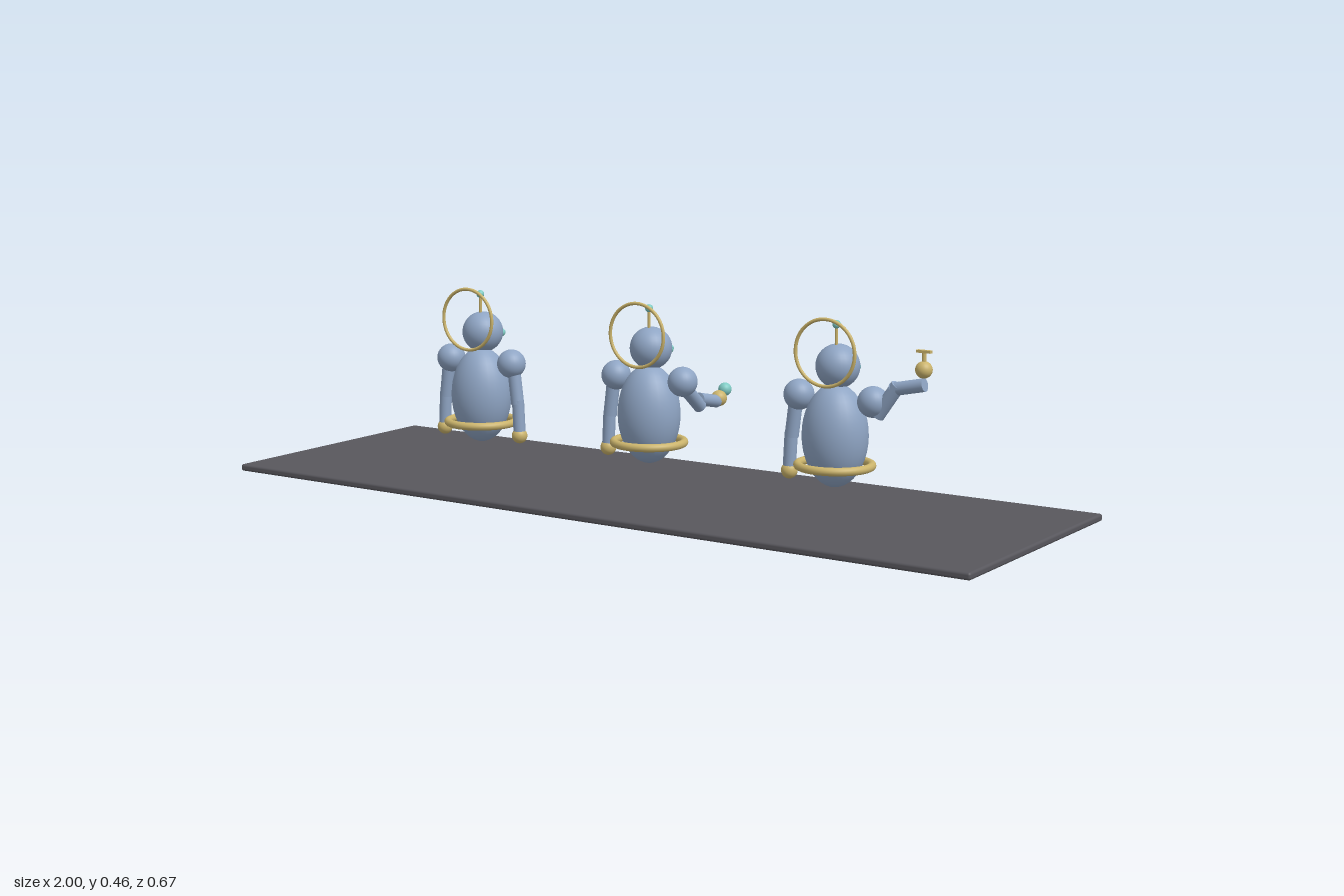
import * as THREE from 'three';
import { RoundedBoxGeometry } from 'three/addons/geometries/RoundedBoxGeometry.js';

const paint = (name, color) => {
  const m = new THREE.MeshStandardMaterial({ color });
  m.name = name;
  return m;
};

export function createModel() {
  const blue = paint('steel blue', 0x8fa5c4);
  const gold = paint('pale gold', 0xcbb46c);
  const teal = paint('teal', 0x80cbc4);
  const grey = paint('dark grey', 0x58575d);

  const add = (parent, name, geometry, material, x = 0, y = 0, z = 0) => {
    const mesh = new THREE.Mesh(geometry, material);
    mesh.name = name;
    mesh.position.set(x, y, z);
    parent.add(mesh);
    return mesh;
  };
  const ball = (parent, name, r, material, [x, y, z]) =>
    add(parent, name, new THREE.SphereGeometry(r, 28, 20), material, x, y, z);

  // Cylinder running between two points
  const rod = (parent, name, r, material, from, to) => {
    const a = new THREE.Vector3(...from), b = new THREE.Vector3(...to);
    const dir = b.clone().sub(a);
    const mesh = add(parent, name, new THREE.CylinderGeometry(r, r, dir.length(), 24), material);
    mesh.position.copy(a).add(b).multiplyScalar(0.5);
    mesh.quaternion.setFromUnitVectors(new THREE.Vector3(0, 1, 0), dir.normalize());
  };

  // Shoulder, upper arm, forearm and hand
  const arm = (parent, name, side, pose) => {
    const g = new THREE.Group();
    g.name = name;
    g.scale.x = 1;
    const at = ([x, y, z]) => [side * x, y, z];
    ball(g, 'shoulder', 0.035, blue, at([0.094, 0.278, 0]));
    rod(g, 'upperArm', 0.016, blue, at(pose.upper[0]), at(pose.upper[1]));
    rod(g, 'forearm', 0.015, blue, at(pose.fore[0]), at(pose.fore[1]));
    ball(g, 'hand', 0.019, gold, at(pose.hand));
    parent.add(g);
    return g;
  };

  const resting = {
    upper: [[0.1, 0.275, 0], [0.112, 0.18, 0]],
    fore: [[0.113, 0.19, 0], [0.117, 0.11, 0]],
    hand: [0.117, 0.102, 0],
  };
  const reaching = {
    upper: [[0.094, 0.27, 0], [0.094, 0.21, -0.075]],
    fore: [[0.094, 0.228, -0.07], [0.094, 0.212, -0.147]],
    hand: [0.094, 0.218, -0.158],
  };
  const raised = {
    upper: [[0.105, 0.248, 0], [0.155, 0.32, 0]],
    fore: [[0.14, 0.31, 0], [0.22, 0.327, 0]],
    hand: [0.217, 0.36, 0],
  };

  const robot = (name, x, leftPose) => {
    const g = new THREE.Group();
    g.name = name;
    g.position.x = x;

    // Egg-shaped body with belt ring and front knob
    const body = ball(g, 'body', 1, blue, [0, 0.194, 0]);
    body.scale.set(0.076, 0.117, 0.0705);
    const belt = add(g, 'belt', new THREE.TorusGeometry(0.083, 0.0095, 14, 56), gold, 0, 0.127, 0);
    belt.rotation.x = Math.PI / 2;
    ball(g, 'bellyKnob', 0.019, gold, [0, 0.202, -0.076]);

    // Head, eyes, antenna and the ring behind
    ball(g, 'head', 0.05, blue, [0, 0.349, -0.008]);
    for (const s of [-1, 1]) {
      rod(g, 'eyeSocket', 0.0105, teal, [s * 0.021, 0.344, -0.045], [s * 0.021, 0.344, -0.057]);
      ball(g, 'eye', 0.008, teal, [s * 0.021, 0.344, -0.059]);
    }
    rod(g, 'antenna', 0.0035, gold, [0, 0.385, 0], [0, 0.44, 0]);
    ball(g, 'antennaTip', 0.0095, teal, [0, 0.443, 0]);
    add(g, 'halo', new THREE.TorusGeometry(0.0745, 0.004, 12, 64), gold, 0, 0.385, 0.051);

    arm(g, 'rightArm', -1, resting);
    return { group: g, leftArm: arm(g, 'leftArm', 1, leftPose) };
  };

  const model = new THREE.Group();
  model.name = 'threeRobots';
  add(model, 'base', new RoundedBoxGeometry(2, 0.017, 0.667, 2, 0.006), grey, 0, 0.0085, 0);

  const first = robot('restingRobot', -0.5, resting);
  const second = robot('reachingRobot', 0, reaching);
  const third = robot('raisedArmRobot', 0.5, raised);

  // Held objects
  ball(second.leftArm, 'heldBall', 0.016, teal, [0.094, 0.236, -0.184]);
  rod(third.leftArm, 'heldStem', 0.005, gold, [0.217, 0.37, 0], [0.217, 0.4, 0]);
  add(third.leftArm, 'heldCrossbar', new THREE.BoxGeometry(0.034, 0.006, 0.011), gold, 0.217, 0.4, 0);

  for (const r of [first, second, third]) model.add(r.group);
  return model;
}
